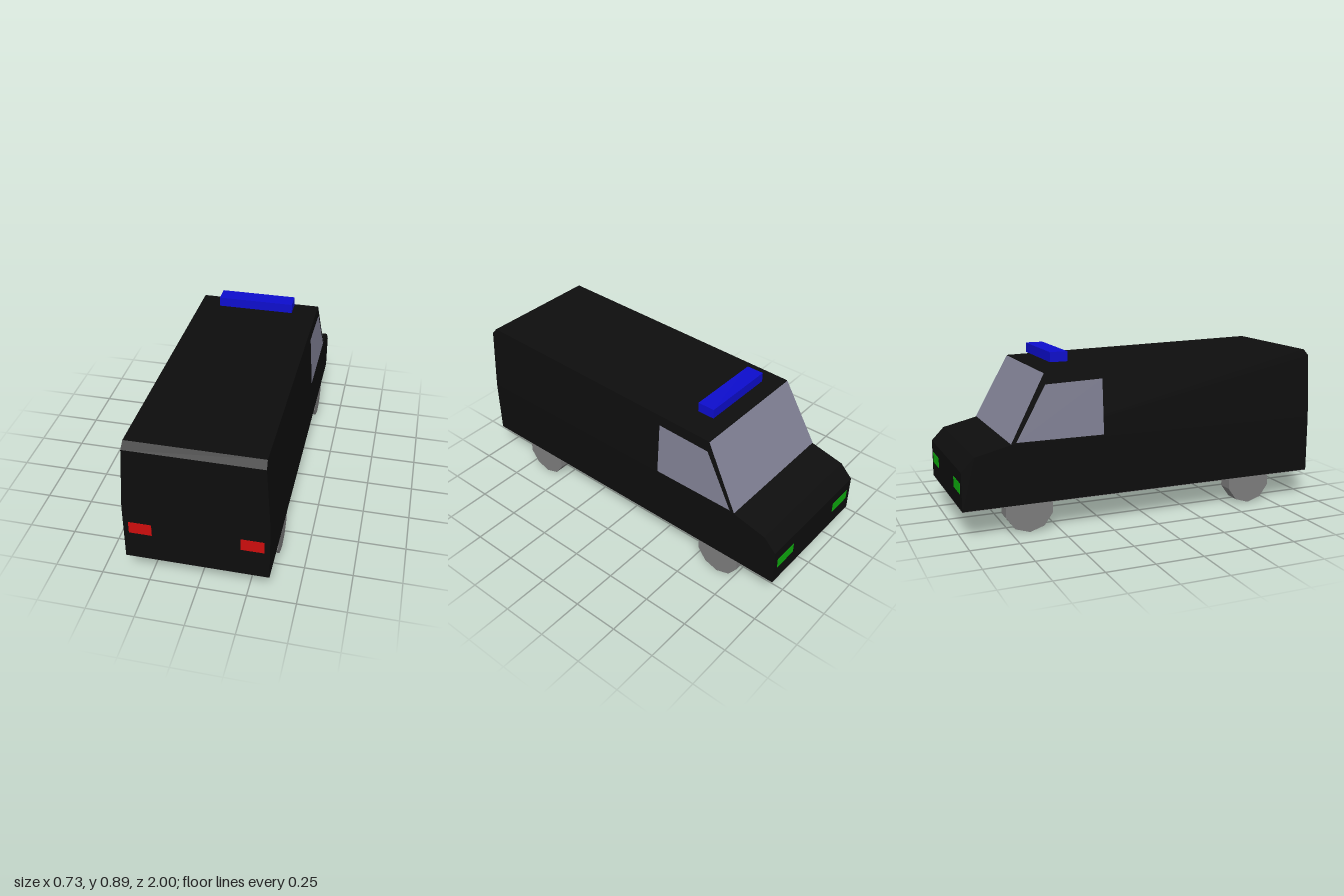
import * as THREE from 'three';

const mat = (name, color, extra = {}) => {
  const m = new THREE.MeshStandardMaterial({ color, flatShading: true, ...extra });
  m.name = name;
  return m;
};

// Side walls are upright to the belt line, then lean inwards
const BELT = 0.465;
const halfWidth = (y) => 0.3625 - Math.max(0, y - BELT) * 0.068;

// Solid with a [z, y] side profile, spanning the width of the van
function hull(profile) {
  const shape = new THREE.Shape(profile.map(([z, y]) => new THREE.Vector2(-z, y)));
  const geo = new THREE.ExtrudeGeometry(shape, { depth: 2, bevelEnabled: false });
  geo.translate(0, 0, -1).rotateY(Math.PI / 2);
  const p = geo.attributes.position;
  for (let i = 0; i < p.count; i++) p.setX(i, Math.sign(p.getX(i)) * halfWidth(p.getY(i)));
  geo.computeVertexNormals();
  return geo;
}

// Flat convex panel from corners listed counter-clockwise as seen from outside
function panel(corners) {
  const pos = [];
  for (let i = 1; i < corners.length - 1; i++) pos.push(...corners[0], ...corners[i], ...corners[i + 1]);
  const geo = new THREE.BufferGeometry();
  geo.setAttribute('position', new THREE.Float32BufferAttribute(pos, 3));
  geo.computeVertexNormals();
  return geo;
}

export function createModel() {
  const group = new THREE.Group();
  group.name = 'van';
  const paint = mat('black paint', 0x0d0d0d);
  const grey = mat('wheel grey', 0x7d7d7d);
  const glass = mat('window glass', 0x808094, { side: THREE.DoubleSide });
  const blue = mat('beacon blue', 0x0d0dcc);
  const red = mat('tail light red', 0xcc0d0d);
  const green = mat('headlight green', 0x0dab0d);

  const add = (name, geo, material, x = 0, y = 0, z = 0) => {
    const mesh = new THREE.Mesh(geo, material);
    mesh.name = name;
    mesh.position.set(x, y, z);
    group.add(mesh);
    return mesh;
  };

  // Body: lower half with the bonnet, upper half with the cabin and roof
  add('lowerBody', hull([[1, 0.15], [1, BELT], [-0.74, BELT], [-0.93, 0.42], [-0.998, 0.35], [-0.998, 0.15]]), paint);
  add('upperBody', hull([[1, BELT], [1, 0.81], [0.97, 0.845], [-0.555, 0.81], [-0.74, BELT]]), paint);
  add('underside', new THREE.BoxGeometry(0.724, 0.004, 1.996), grey, 0, 0.149, 0);

  // Windscreen covering the whole sloping front of the cabin
  const top = halfWidth(0.808), low = halfWidth(BELT);
  add('windscreen', panel([
    [low, 0.467, -0.743], [-low, 0.467, -0.743], [-top, 0.808, -0.56], [top, 0.808, -0.56],
  ]), glass);

  // Cab door windows, following the leaning walls
  const outline = [[-0.25, 0.473], [-0.717, 0.473], [-0.555, 0.752], [-0.25, 0.762]];
  for (const s of [1, -1]) {
    const corners = outline.map(([z, y]) => [s * (halfWidth(y) + 0.002), y, z]);
    add('sideWindow', panel(s > 0 ? corners : corners.reverse()), glass);
  }

  // Ten-sided wheels, lamps at both ends
  const wheel = new THREE.CylinderGeometry(0.13, 0.13, 0.086, 10).rotateZ(Math.PI / 2);
  // Turn so that one corner points straight down
  wheel.rotateX(Math.PI / 2 - Math.PI / 2);
  const wp = wheel.attributes.position;
  let lowest = 0;
  for (let i = 0; i < wp.count; i++) lowest = Math.min(lowest, wp.getY(i));
  if (lowest > -0.1299) wheel.rotateX(Math.PI / 10);

  for (const s of [1, -1]) {
    add('rearWheel', wheel, grey, s * 0.317, 0.13, 0.622);
    add('frontWheel', wheel, grey, s * 0.317, 0.13, -0.655);
    add('tailLight', new THREE.BoxGeometry(0.116, 0.066, 0.006), red, s * 0.278, 0.34, 0.999);
    add('headlight', new THREE.BoxGeometry(0.142, 0.056, 0.006), green, s * 0.26, 0.261, -0.997);
  }

  // Beacon bar held just above the roof
  add('beaconBar', new THREE.BoxGeometry(0.42, 0.052, 0.095), blue, 0, 0.866, -0.437);
  return group;
}
